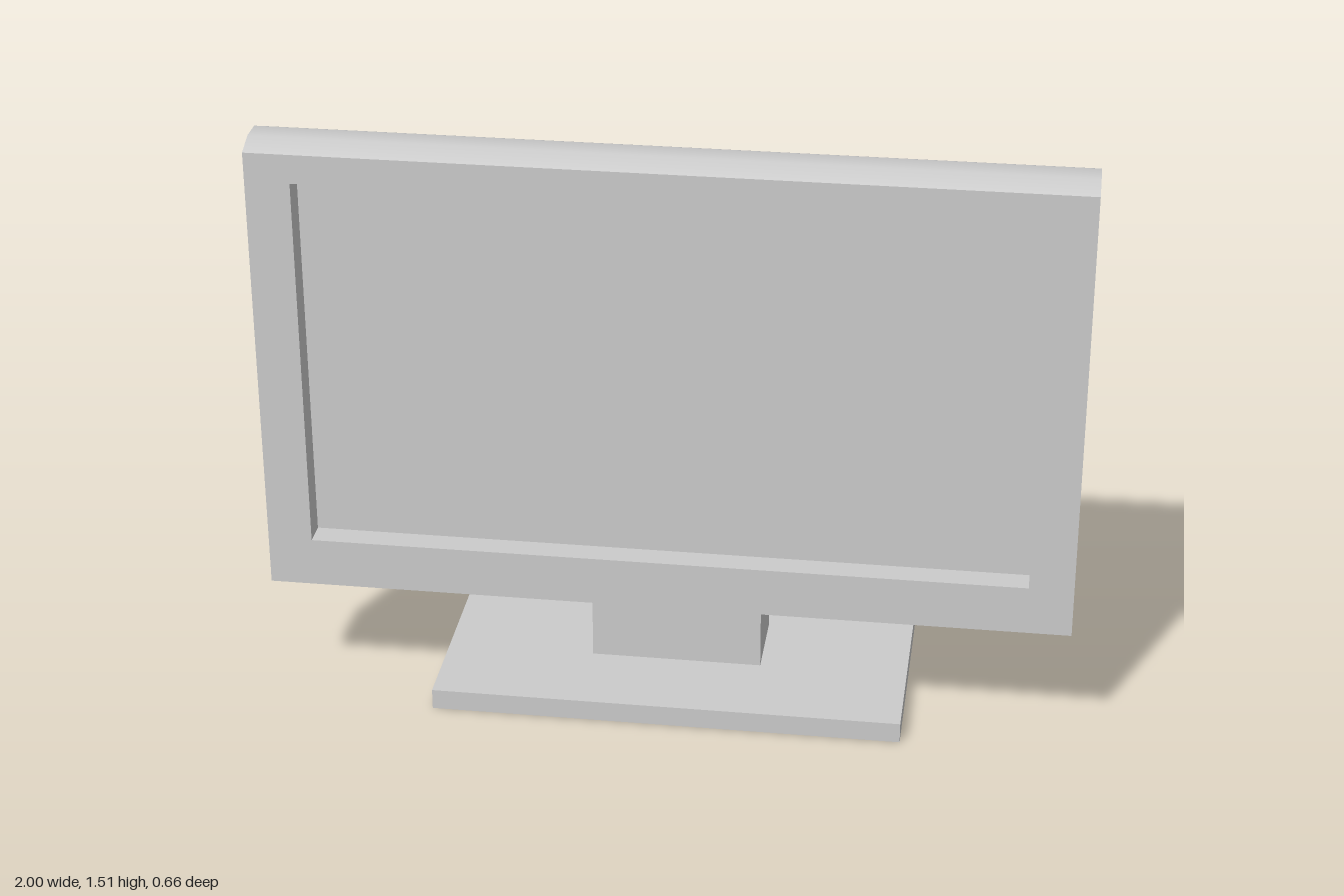
import * as THREE from 'three';

const grey = new THREE.MeshStandardMaterial({ color: 0xcccccc });

function add(parent, name, geometry, x = 0, y = 0, z = 0) {
  const mesh = new THREE.Mesh(geometry, grey);
  mesh.name = name;
  mesh.position.set(x, y, z);
  parent.add(mesh);
  return mesh;
}

// Box given by its limits
function addBox(parent, name, [x0, x1], [y0, y1], [z0, z1]) {
  return add(parent, name, new THREE.BoxGeometry(x1 - x0, y1 - y0, z1 - z0),
    (x0 + x1) / 2, (y0 + y1) / 2, (z0 + z1) / 2);
}

function rectangle(path, halfWidth, y0, y1) {
  path.moveTo(-halfWidth, y0);
  path.lineTo(halfWidth, y0);
  path.lineTo(halfWidth, y1);
  path.lineTo(-halfWidth, y1);
  path.closePath();
  return path;
}

// Flat face with a rectangular opening
function frameFace(y0, y1, opening) {
  const shape = rectangle(new THREE.Shape(), 1, y0, y1);
  shape.holes.push(rectangle(new THREE.Path(), opening.halfWidth, opening.y0, opening.y1));
  return new THREE.ShapeGeometry(shape);
}

// Inward-facing box, open towards +z, with its mouth at z = 0
function pocket({ halfWidth, y0, y1, depth }) {
  const box = new THREE.BoxGeometry(2 * halfWidth, y1 - y0, depth);
  const index = Array.from(box.index.array);
  index.splice(24, 6); // drop the +z face
  box.setIndex(index.reverse());
  const geometry = box.toNonIndexed();
  geometry.computeVertexNormals();
  return geometry.translate(0, (y0 + y1) / 2, -depth / 2);
}

export function createModel() {
  const model = new THREE.Group();
  model.name = 'monitor';

  // Stand
  addBox(model, 'base', [-0.593, 0.593], [0, 0.053], [-0.33, 0.33]);
  addBox(model, 'collar', [-0.217, 0.217], [0.053, 0.255], [-0.103, 0.1]);
  const side = new THREE.Shape([[-0.08, 0.255], [0.08, 0.255], [0.08, 0.99], [-0.08, 0.86]]
    .map(([z, y]) => new THREE.Vector2(z, y)));
  const column = new THREE.ExtrudeGeometry(side, { depth: 0.394, bevelEnabled: false });
  column.translate(0, 0, -0.197).rotateY(-Math.PI / 2);
  add(model, 'column', column);
  addBox(model, 'mount', [-0.08, 0.08], [0.83, 0.923], [0.08, 0.13]);

  // Screen housing
  const housing = new THREE.Group();
  housing.name = 'housing';
  model.add(housing);
  const back = 0.13, front = 0.302, mid = (back + front) / 2, half = (front - back) / 2;
  const low = 0.325, high = 1.483, centre = (low + high) / 2;
  const radius = 0.16, angle = Math.asin(half / radius);
  const axis = (high - low) / 2 - radius * Math.cos(angle);

  // Front bezel and sunken screen
  const screen = { halfWidth: 0.89, y0: 0.45, y1: 1.41, depth: 0.065 };
  add(housing, 'bezel', frameFace(low, high, screen), 0, 0, front);
  add(housing, 'screen', pocket(screen), 0, 0, front);

  // Back panel and connector recess
  const ports = { halfWidth: 0.46, y0: 0.33, y1: 0.585, depth: 0.085 };
  add(housing, 'backPanel', frameFace(low, high, ports).rotateY(Math.PI), 0, 0, back);
  add(housing, 'connectorRecess', pocket(ports).rotateY(Math.PI), 0, 0, back);

  // Gently curved top and bottom edges
  const edge = () => new THREE.CylinderGeometry(radius, radius, 2, 3, 1, true,
    Math.PI / 2 - angle, 2 * angle).rotateZ(Math.PI / 2).translate(0, axis, 0);
  add(housing, 'topEdge', edge(), 0, centre, mid);
  add(housing, 'bottomEdge', edge().rotateX(Math.PI), 0, centre, mid);

  // Ends following the curved profile
  const outline = [];
  for (const s of [1, -1]) {
    for (let i = 0; i <= 3; i++) {
      const a = angle - (2 * angle * i) / 3;
      outline.push(new THREE.Vector2(s * radius * Math.sin(a), s * (axis + radius * Math.cos(a))));
    }
  }
  for (const s of [1, -1]) {
    const end = new THREE.ShapeGeometry(new THREE.Shape(outline)).rotateY(s * Math.PI / 2);
    add(housing, s > 0 ? 'leftEnd' : 'rightEnd', end, s, centre, mid);
  }

  return model;
}
